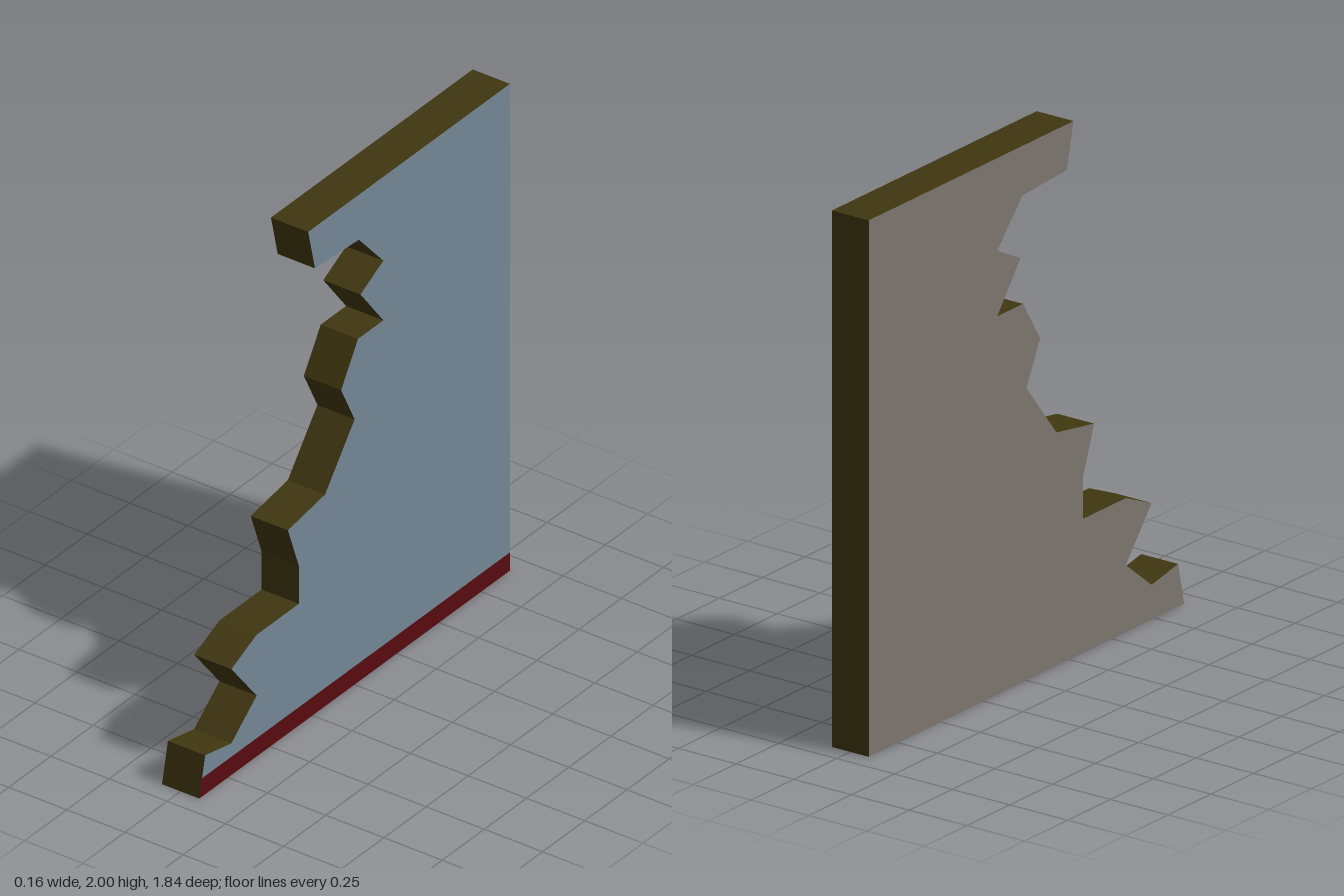
import * as THREE from 'three';

const HALF = 0.08;   // half the wall thickness
const TRIM = 0.075;  // height of the skirting band

// Outline as [z, y], from the front foot up the broken edge and down the back
const outline = [
  [0.92, 0], [0.885, 0.16], [0.73, 0.13], [0.58, 0.25], [0.73, 0.435],
  [0.58, 0.5], [0.33, 0.5], [0.33, 0.655], [0.395, 0.835], [0.175, 0.87],
  [0, 1.09], [0.08, 1.25], [-0.02, 1.41], [-0.17, 1.41], [-0.035, 1.585],
  [-0.17, 1.655], [-0.025, 1.815], [0.235, 1.83], [0.275, 2],
  [-0.92, 2], [-0.92, 0],
];

function material(name, color) {
  const m = new THREE.MeshStandardMaterial({ color, side: THREE.DoubleSide });
  m.name = name;
  return m;
}

// Flat side of the wall, facing +x (side = 1) or -x (side = -1)
function sideFace(points, side) {
  const shape = new THREE.Shape(points.map(([z, y]) => new THREE.Vector2(-side * z, y)));
  return new THREE.ShapeGeometry(shape)
    .rotateY(side * Math.PI / 2)
    .translate(side * HALF, 0, 0);
}

// Ribbon across the thickness along the outline; the underside stays open
function edgeRibbon(points) {
  const pos = [];
  for (let i = 0; i < points.length - 1; i++) {
    const [az, ay] = points[i], [bz, by] = points[i + 1];
    const a = [HALF, ay, az], b = [HALF, by, bz];
    const c = [-HALF, by, bz], d = [-HALF, ay, az];
    pos.push(...a, ...b, ...c, ...a, ...c, ...d);
  }
  const g = new THREE.BufferGeometry();
  g.setAttribute('position', new THREE.Float32BufferAttribute(pos, 3));
  g.computeVertexNormals();
  return g;
}

export function createModel() {
  const group = new THREE.Group();
  group.name = 'brokenWall';
  const add = (name, geometry, mat) => {
    const mesh = new THREE.Mesh(geometry, mat);
    mesh.name = name;
    group.add(mesh);
  };

  // Point where the band's top meets the sloping front foot
  const [foot, toe] = outline;
  const trimFront = [foot[0] + (toe[0] - foot[0]) * TRIM / toe[1], TRIM];
  const trimBack = [-0.92, TRIM];

  add('paintedFace', sideFace([trimFront, ...outline.slice(1, -1), trimBack], 1),
    material('bluePaint', 0x738696));
  add('skirtingBand', sideFace([foot, trimFront, trimBack, outline[outline.length - 1]], 1),
    material('darkRed', 0x580c10));
  add('plainFace', sideFace(outline, -1), material('greyPlaster', 0x7c766d));
  add('brokenEdge', edgeRibbon(outline), material('darkOlive', 0x403710));
  return group;
}
